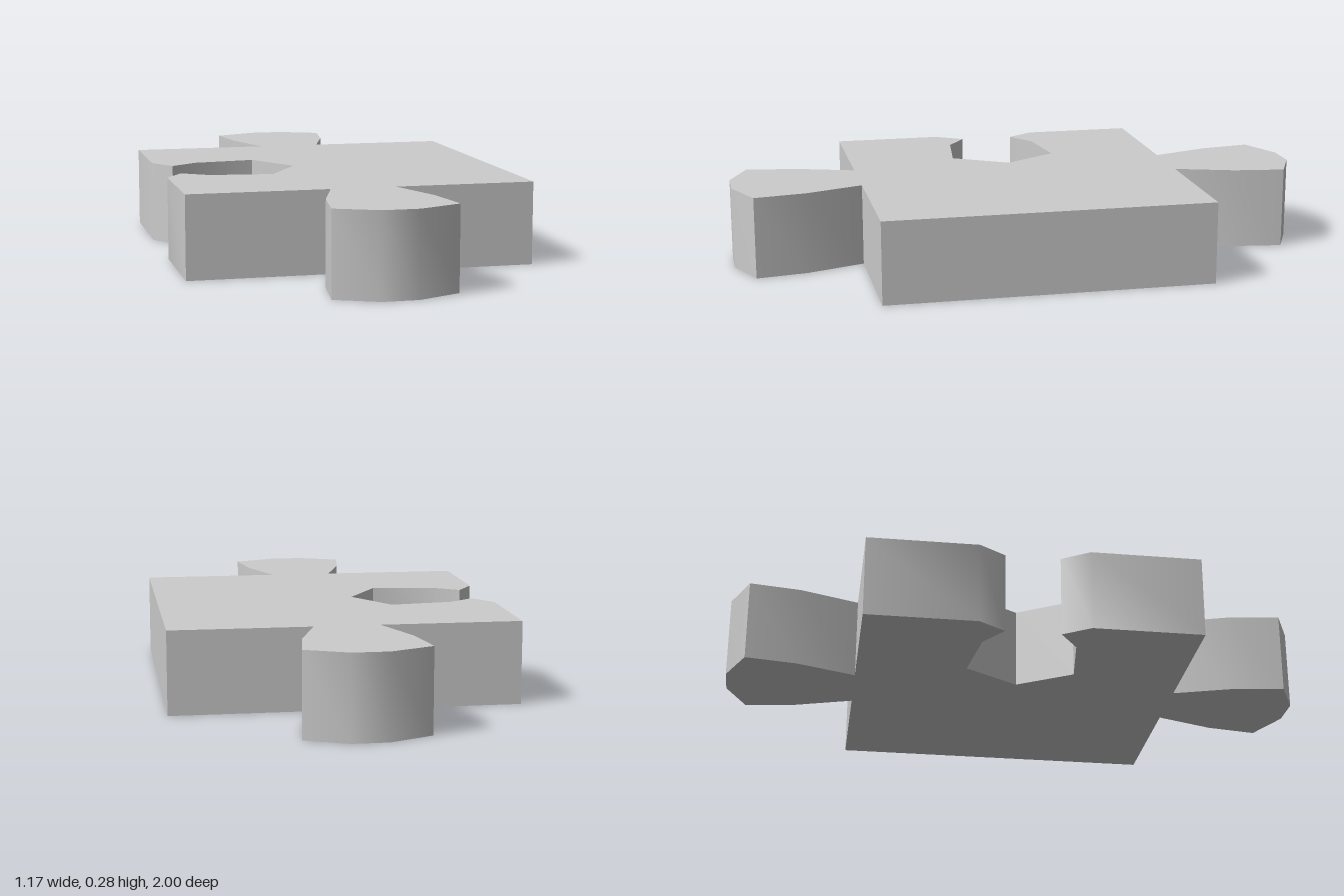
import * as THREE from 'three';
import { toCreasedNormals } from 'three/addons/utils/BufferGeometryUtils.js';

const HEIGHT = 0.28, HALF_X = 0.585, HALF_Z = 0.56;

// Outline points are [x, z]
const tab = [
  [-0.11, 0.56], [-0.175, 0.76], [-0.2, 0.935], [-0.06, 1],
  [0.06, 1], [0.18, 0.76 + 0.0], [0.11, 0.56],
];
// Widest corner on the +x side of the tab
tab.splice(5, 0, [0.207, 0.935]);

// Half of the socket, from the mouth to the inner point
const socket = [[-HALF_X, 0.185], [-0.525, 0.093], [-0.435, 0.157], [-0.22, 0.185], [-0.108, 0]];

export function createModel() {
  const backTab = tab.map(([x, z]) => [-x, -z]);
  const socketBack = socket.slice(0, -1).map(([x, z]) => [x, -z]);

  const outline = [
    [-HALF_X, HALF_Z], ...tab, [HALF_X, HALF_Z],
    [HALF_X, -HALF_Z], ...backTab, [-HALF_X, -HALF_Z],
    ...socketBack, ...socket.slice().reverse(),
  ];

  // Extrude the flat outline upwards; gentle bends stay smooth
  const shape = new THREE.Shape(outline.map(([x, z]) => new THREE.Vector2(x, -z)));
  const solid = new THREE.ExtrudeGeometry(shape, { depth: HEIGHT, bevelEnabled: false });
  solid.rotateX(-Math.PI / 2);

  const piece = new THREE.Mesh(
    toCreasedNormals(solid, 0.62),
    new THREE.MeshStandardMaterial({ color: 0xcccccc }),
  );
  piece.name = 'puzzlePiece';

  const group = new THREE.Group();
  group.name = 'jigsawPiece';
  group.add(piece);
  return group;
}
